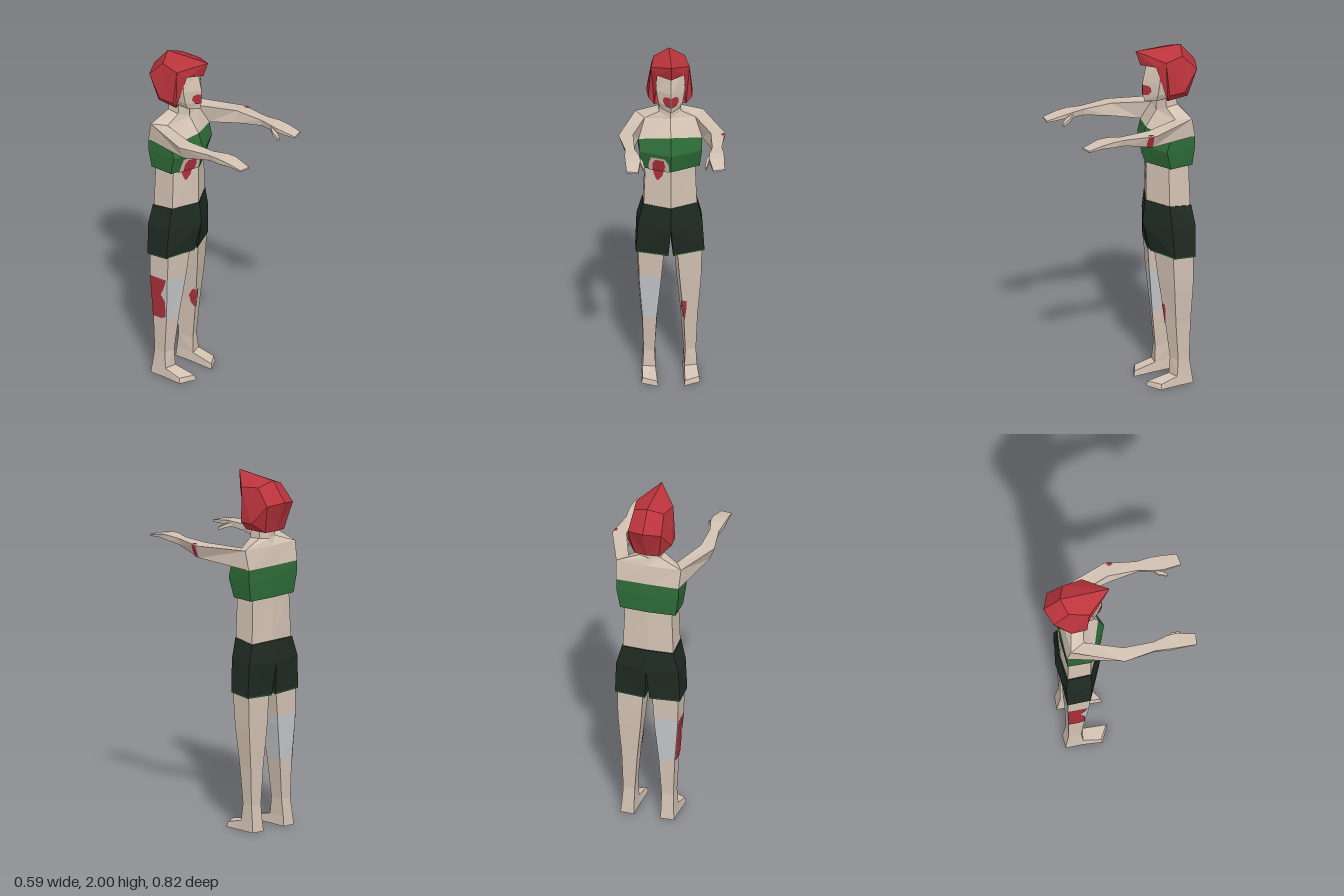
import * as THREE from 'three';

const mat = (name, color, side = THREE.FrontSide) =>
  new THREE.MeshStandardMaterial({ name, color, side, flatShading: true });

const mirror = (p) => [-p[0], p[1], p[2]];
// Half ring (front centre, front side, back side, back centre) to full ring
const full = ([f, s, b, c]) => [f, s, b, c, mirror(b), mirror(s)];

function fromTriangles(tris) {
  const g = new THREE.BufferGeometry();
  g.setAttribute('position', new THREE.Float32BufferAttribute(tris.flat(2), 3));
  g.computeVertexNormals();
  return g;
}

// Closed skin over a list of rings, turned outward by its signed volume
function loft(rings) {
  const tris = [];
  const n = rings[0].length;
  for (let r = 0; r + 1 < rings.length; r++) {
    for (let i = 0; i < n; i++) {
      const j = (i + 1) % n;
      const [a, b, c, d] = [rings[r][i], rings[r][j], rings[r + 1][j], rings[r + 1][i]];
      tris.push([a, b, c], [a, c, d]);
    }
  }
  const first = rings[0], last = rings[rings.length - 1];
  for (let i = 1; i + 1 < n; i++) {
    tris.push([first[0], first[i + 1], first[i]], [last[0], last[i], last[i + 1]]);
  }
  let volume = 0;
  for (const t of tris) {
    const [a, b, c] = t.map((p) => new THREE.Vector3(...p));
    volume += a.dot(b.cross(c));
  }
  if (volume < 0) tris.forEach((t) => t.reverse());
  return fromTriangles(tris);
}

// Flat patch on the plane of three points; outline gives the two axes other than `axis`
function patch(plane, axis, sign, outline) {
  const [a, b, c] = plane.map((p) => new THREE.Vector3(...p));
  const nrm = b.clone().sub(a).cross(c.clone().sub(a)).normalize();
  if (nrm.getComponent(axis) * sign < 0) nrm.negate();
  const [u, v] = [[2, 1], [0, 2], [0, 1]][axis];
  const pts = outline.map(([pu, pv]) => {
    const p = new THREE.Vector3();
    p.setComponent(u, pu).setComponent(v, pv);
    p.setComponent(axis, nrm.dot(a.clone().sub(p)) / nrm.getComponent(axis));
    return p.addScaledVector(nrm, 0.004);
  });
  const tris = [];
  for (let i = 1; i + 1 < pts.length; i++) {
    const t = [pts[0], pts[i], pts[i + 1]];
    const tn = t[1].clone().sub(t[0]).cross(t[2].clone().sub(t[0]));
    if (tn.dot(nrm) < 0) t.reverse();
    tris.push(t.map((p) => p.toArray()));
  }
  return fromTriangles(tris);
}

export function createModel() {
  const model = new THREE.Group();
  model.name = 'figure';
  const skin = mat('skin', 0xd3c2b3);
  const green = mat('top green', 0x2f6c38);
  const dark = mat('shorts dark green', 0x1f2b23);
  const red = mat('hair red', 0xbc343c, THREE.DoubleSide);
  const blood = mat('wound red', 0xae303a, THREE.DoubleSide);
  const tear = mat('torn cloth skin', 0xcbb9aa, THREE.DoubleSide);
  const grey = mat('bandage grey', 0xc6c7ca);
  const add = (name, geometry, material) => {
    const m = new THREE.Mesh(geometry, material);
    m.name = name;
    model.add(m);
  };

  // Torso
  const waist = [[0, 1.08, -.10], [.148, 1.08, -.17], [.145, 1.07, -.30], [0, 1.07, -.315]];
  const ribs = [[0, 1.33, -.10], [.138, 1.33, -.17], [.135, 1.33, -.295], [0, 1.33, -.305]];
  const hem = [[0, 1.32, -.093], [.163, 1.32, -.17], [.16, 1.32, -.305], [0, 1.32, -.315]];
  const bust = [[0, 1.43, -.065], [.174, 1.43, -.14], [.178, 1.43, -.312], [0, 1.43, -.32]];
  const chest = [[0, 1.53, -.10], [.176, 1.50, -.16], [.18, 1.50, -.312], [0, 1.50, -.315]];
  const shoulder = [[0, 1.62, -.165], [.14, 1.605, -.21], [.187, 1.61, -.29], [0, 1.61, -.30]];
  const collar = [[0, 1.625, -.165], [.062, 1.65, -.195], [.06, 1.655, -.265], [0, 1.65, -.285]];
  const nape = [[0, 1.74, -.165], [.055, 1.74, -.195], [.052, 1.74, -.265], [0, 1.74, -.28]];
  add('belly', loft([waist, ribs].map(full)), skin);
  add('croppedTop', loft([hem, bust, chest].map(full)), green);
  add('shouldersAndNeck', loft([chest, shoulder, collar, nape].map(full)), skin);

  // Head
  add('head', loft([
    [[0, 1.69, -.09], [.05, 1.695, -.14], [.06, 1.71, -.25], [0, 1.72, -.30]],
    [[0, 1.735, -.08], [.068, 1.735, -.14], [.075, 1.74, -.26], [0, 1.74, -.31]],
    [[0, 1.81, -.08], [.08, 1.81, -.145], [.08, 1.81, -.27], [0, 1.81, -.32]],
    [[0, 1.92, -.105], [.074, 1.92, -.15], [.07, 1.92, -.27], [0, 1.92, -.30]],
  ].map(full)), skin);
  for (const s of [1, -1]) {
    add('mouth', patch([[0, 1.735, -.08], [0, 1.81, -.08], [s * .076, 1.78, -.143]], 2, 1,
      [[0, 1.728], [s * .026, 1.732], [s * .042, 1.755], [s * .038, 1.78], [s * .022, 1.79], [0, 1.788]]), blood);
  }

  // Hair: faceted bob with a pointed fringe
  const H = {
    tip: [0, 2.0, -.035], crown: [0, 1.985, -.315], back: [0, 1.875, -.408], low: [0, 1.70, -.335],
    brow: [.107, 1.94, -.17], top: [.086, 1.952, -.283], rear: [.096, 1.86, -.37],
    side: [.128, 1.75, -.275], front: [.122, 1.745, -.185], tuck: [.088, 1.70, -.19],
    hind: [.07, 1.70, -.325], open: [.074, 1.91, -.125], part: [0, 1.91, -.065], under: [0, 1.715, -.2],
  };
  const centre = new THREE.Vector3(0, 1.85, -.22);
  const hairTris = [];
  for (const face of ['tip brow top crown', 'crown top rear back', 'top brow side', 'brow front side',
    'top side rear', 'rear side hind', 'rear hind low back', 'tip part open brow',
    'brow open tuck front', 'front tuck hind side', 'tuck hind low under']) {
    const q = face.split(' ').map((k) => H[k]);
    for (let i = 1; i + 1 < q.length; i++) {
      const t = [q[0], q[i], q[i + 1]];
      const [a, b, c] = t.map((p) => new THREE.Vector3(...p));
      if (b.sub(a).cross(c.sub(a)).dot(a.sub(centre)) < 0) t.reverse();
      hairTris.push(t, t.map(mirror).reverse());
    }
  }
  add('hair', fromTriangles(hairTris), red);

  // Hips
  const belt = [[0, 1.09, -.095], [.152, 1.09, -.17], [.15, 1.07, -.305], [0, 1.075, -.322]];
  const hip = [[0, .96, -.08], [.178, .97, -.17], [.18, .96, -.315], [0, .95, -.342]];
  add('shortsHips', loft([belt, hip].map(full)), dark);

  // Leg ring: inner front, outer front, outer back, inner back
  const legRing = (y, xi, xo, zi, zo, zb, gap) =>
    [[xi, y, zi], [xo, y, zo], [xo, y, zb], [xi - gap, y, zb - .003]];
  const thighTop = legRing(.82, .035, .176, -.13, -.175, -.305, .012);
  const thigh = legRing(.64, .05, .173, -.147, -.186, -.306, .014);
  const knee = legRing(.58, .055, .17, -.155, -.19, -.305, .015);
  const shin = legRing(.37, .075, .153, -.18, -.207, -.298, .013);
  const ankle = legRing(.15, .085, .145, -.205, -.225, -.295, .008);
  const heel = legRing(.055, .08, .15, -.2, -.215, -.308, .002);
  const sole = legRing(0, .075, .155, -.2, -.215, -.315, 0);
  const cuff = [[.013, .79, -.118], [.19, .79, -.18], [.187, .777, -.312], [.013, .77, -.318]];
  const lower = (ring, d) => ring.map(([x, y, z]) => [x, y - d, z]);

  // Arm ring: inner top, outer top, outer bottom, inner bottom
  const elbow = [[.215, 1.61, 0], [.295, 1.605, -.01], [.268, 1.53, 0], [.205, 1.54, .01]];
  const wrist = [[.215, 1.61, .17], [.268, 1.61, .17], [.26, 1.572, .17], [.22, 1.572, .17]];
  const arm = [
    [shoulder[1], shoulder[2], chest[2], chest[1]], elbow, wrist,
    [[.195, 1.615, .25], [.275, 1.614, .25], [.273, 1.582, .25], [.2, 1.582, .25]],
    [[.19, 1.612, .305], [.275, 1.609, .315], [.273, 1.589, .315], [.19, 1.589, .305]],
    [[.208, 1.59, .41], [.272, 1.592, .40], [.27, 1.582, .40], [.208, 1.58, .41]],
  ];
  const thumb = [
    [[.2, 1.608, .245], [.2, 1.605, .285], [.2, 1.585, .285], [.2, 1.585, .245]],
    [[.175, 1.592, .28], [.186, 1.588, .305], [.186, 1.57, .302], [.175, 1.572, .28]],
    [[.167, 1.57, .325], [.175, 1.568, .332], [.175, 1.552, .33], [.167, 1.553, .322]],
  ];

  for (const [side, s] of [['left', 1], ['right', -1]]) {
    const place = (rings) => loft(rings.map((r) => r.map((p) => [s * p[0], p[1], p[2]])));
    add(side + 'ShortsLeg', place([hip, cuff]), dark);
    add(side + 'ShortsLining', place([cuff, lower(cuff, .006)]), green);
    add(side + 'Thigh', place([thighTop, thigh]), skin);
    add(side + (s > 0 ? 'Knee' : 'Bandage'), place([thigh, knee, shin]), s > 0 ? skin : grey);
    add(side + 'Shin', place([shin, ankle, heel, sole]), skin);
    add(side + 'Foot', place([
      [[.08, .055, -.2], [.15, .055, -.215], [.155, 0, -.215], [.075, 0, -.2]],
      [[.076, .03, -.07], [.157, .03, -.115], [.163, 0, -.108], [.07, 0, -.062]],
    ]), skin);
    add(side + 'Arm', place(arm), skin);
    add(side + 'Thumb', place(thumb), skin);
  }

  // Torn cloth and belly wound
  const bustPlane = [bust[0], mirror(bust[1]), hem[0]];
  const bellyPlane = [ribs[0], mirror(ribs[1]), waist[0]];
  add('clothTear', patch(bustPlane, 2, 1,
    [[-.125, 1.32], [-.122, 1.375], [-.11, 1.408], [-.035, 1.408], [-.012, 1.375], [-.01, 1.32]]), tear);
  const chestWound = patch(bustPlane, 2, 1,
    [[-.10, 1.322], [-.10, 1.37], [-.085, 1.397], [-.04, 1.397], [-.032, 1.36], [-.036, 1.322]]);
  chestWound.translate(0, 0, .003);
  add('chestWound', chestWound, blood);
  add('bellyWound', patch(bellyPlane, 2, 1,
    [[-.10, 1.325], [-.036, 1.325], [-.045, 1.285], [-.068, 1.253], [-.078, 1.258], [-.09, 1.29]]), blood);

  // Leg wounds
  add('leftShinWound', patch([knee[0], knee[1], shin[0]], 2, 1,
    [[.066, .48], [.09, .472], [.088, .42], [.082, .37], [.076, .35], [.075, .37]]), blood);
  add('leftInnerShinWound', patch([knee[0], knee[3], shin[0]], 0, -1,
    [[-.168, .48], [-.19, .475], [-.215, .43], [-.205, .38], [-.181, .36]]), blood);
  add('bandageStain', patch([thigh[1], thigh[2], shin[1]].map(mirror), 0, -1,
    [[-.304, .635], [-.192, .635], [-.215, .57], [-.235, .53], [-.208, .49], [-.208, .39], [-.24, .372], [-.297, .372]]), blood);

  // Arm and palm wounds
  add('leftArmWound', patch([elbow[1], wrist[1], elbow[2]], 0, 1,
    [[.003, 1.604], [.038, 1.606], [.042, 1.57], [.036, 1.538], [.003, 1.534]]), blood);
  add('leftArmTopWound', patch([elbow[0], elbow[1], wrist[1]], 1, 1,
    [[.289, .005], [.276, .008], [.271, .022], [.278, .036], [.288, .034]]), blood);
  add('rightPalmWound', patch([arm[4][2], arm[4][3], arm[3][2]].map(mirror), 1, -1,
    [[-.268, .255], [-.205, .255], [-.195, .3], [-.21, .33], [-.268, .325]]), blood);

  return model;
}
